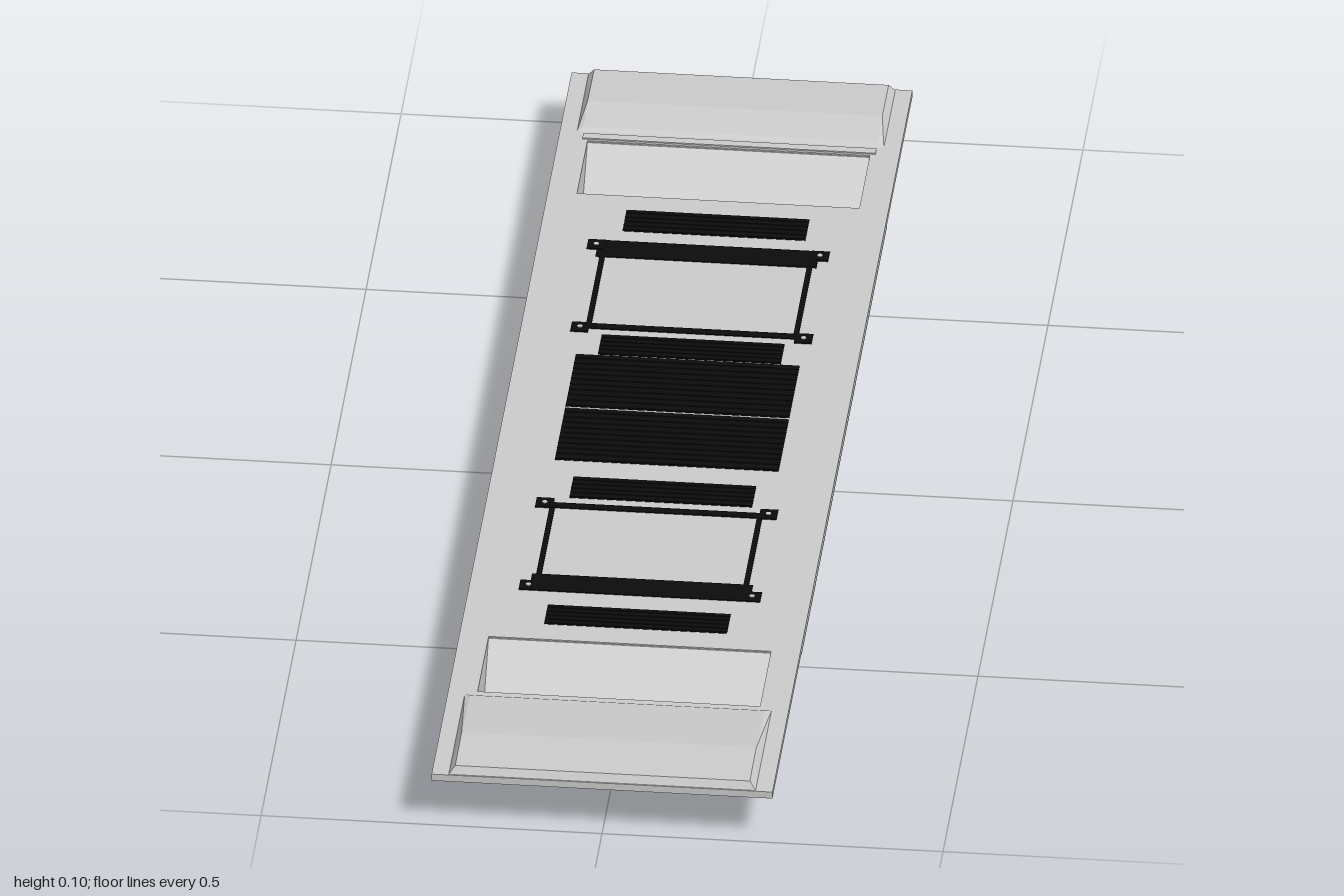
import * as THREE from 'three';
import { ConvexGeometry } from 'three/addons/geometries/ConvexGeometry.js';

const grey = new THREE.MeshStandardMaterial({ color: 0xcccccc, flatShading: true });
const black = new THREE.MeshStandardMaterial({ color: 0x0c0c0c, flatShading: true });

const TOP = 0.086, BASE = 0.075;

export function createModel() {
  const model = new THREE.Group();

  const add = (name, geometry, material, parent = model) => {
    const mesh = new THREE.Mesh(geometry, material);
    mesh.name = name;
    parent.add(mesh);
    return mesh;
  };
  // Box given by its limits on each axis
  const box = (name, x0, x1, y0, y1, z0, z1, material, parent) => {
    const mesh = add(name, new THREE.BoxGeometry(x1 - x0, y1 - y0, z1 - z0), material, parent);
    mesh.position.set((x0 + x1) / 2, (y0 + y1) / 2, (z0 + z1) / 2);
    return mesh;
  };
  const group = (name) => {
    const g = new THREE.Group();
    g.name = name;
    model.add(g);
    return g;
  };

  // Main plate, pierced by the two pocket openings
  const rect = (Type, x, z0, z1) => new Type([
    new THREE.Vector2(-x, -z0), new THREE.Vector2(x, -z0),
    new THREE.Vector2(x, -z1), new THREE.Vector2(-x, -z1)]);
  const plate = rect(THREE.Shape, 0.25, 1, -1);
  plate.holes.push(rect(THREE.Path, 0.207, 0.76, 0.603), rect(THREE.Path, 0.207, -0.66, -0.81));
  const plateGeometry = new THREE.ExtrudeGeometry(plate, { depth: TOP - BASE, bevelEnabled: false });
  plateGeometry.rotateX(-Math.PI / 2).translate(0, BASE, 0);
  add('mainPlate', plateGeometry, grey);

  // Extrude a [z, y] profile across x
  const across = (points, x0, x1) => {
    const shape = new THREE.Shape(points.map(([z, y]) => new THREE.Vector2(-z, y)));
    return new THREE.ExtrudeGeometry(shape, { depth: x1 - x0, bevelEnabled: false })
      .rotateY(Math.PI / 2).translate(x0, 0, 0);
  };

  // V-shaped pockets hanging below the plate, with triangular ends
  const pocket = (name, zBack, zLow, zFront) => {
    const g = group(name);
    const y = 0.084, t = 0.005;
    add('pocketTrough', across([
      [zBack, y], [zLow - 0.004, 0], [zLow + 0.004, 0], [zFront, y],
      [zFront - t, y], [zLow, 0.006], [zBack + t, y]], -0.223, 0.223), grey, g);
    for (const [x0, x1] of [[-0.224, -0.207], [0.207, 0.224]])
      add('pocketEnd', across([[zBack, y], [zLow - 0.004, 0], [zLow + 0.004, 0], [zFront, y]], x0, x1), grey, g);
  };
  pocket('frontPocket', 0.6, 0.677, 0.763);
  pocket('rearPocket', -0.813, -0.726, -0.657);

  // Raised end pads with sloped borders, tapering towards the pockets
  const pad = (name, zOuter, zCrest, zInner) => {
    const s = Math.sign(zOuter), points = [];
    for (const m of [-1, 1]) {
      points.push(
        new THREE.Vector3(m * 0.225, BASE, zOuter), new THREE.Vector3(m * 0.225, BASE, zInner),
        new THREE.Vector3(m * 0.225, TOP, zOuter), new THREE.Vector3(m * 0.225, TOP, zInner),
        new THREE.Vector3(m * 0.216, 0.098, zOuter - s * 0.006),
        new THREE.Vector3(m * 0.216, 0.1, zCrest),
        new THREE.Vector3(m * 0.216, 0.09, zInner + s * 0.008));
    }
    add(name, new ConvexGeometry(points), grey);
  };
  pad('frontPad', 0.998, 0.9, 0.77);
  pad('rearPad', -0.998, -0.9, -0.835);

  // Low lips where the pads meet the pockets
  box('rearPocketLip', -0.215, 0.215, TOP - 0.004, TOP + 0.002, -0.828, -0.814, grey);

  // Ribbed black grilles set into the top
  const grille = (name, x0, x1, z0, z1, ribs) => {
    const g = group(name);
    box('grilleBed', x0, x1, BASE, TOP + 0.0006, z0, z1, black, g);
    const pitch = (z1 - z0) / ribs;
    for (let i = 0; i < ribs; i++) {
      const z = z0 + pitch * i;
      box('grilleRib', x0, x1, TOP, TOP + 0.0016, z + pitch * 0.2, z + pitch * 0.8, black, g);
    }
  };
  for (const [z0, z1] of [[-0.62, -0.56], [-0.265, -0.208], [0.14, 0.2], [0.505, 0.56]])
    grille('ventGrille', -0.13, 0.138, z0, z1, 5);
  grille('centreGrilleRear', -0.162, 0.166, -0.206, -0.057, 10);
  grille('centreGrilleFront', -0.162, 0.166, -0.053, 0.095, 10);

  // Black frames: a wide bar, a thin bar, side rails and bolted corners
  const frame = (name, zWide, zThin) => {
    const g = group(name);
    const y0 = TOP - 0.003, y1 = TOP + 0.0015;
    const d = Math.sign(zThin - zWide);
    box('wideBar', -0.162, 0.162, y0, y1, zWide - 0.023, zWide + 0.023, black, g);
    box('thinBar', -0.162, 0.162, y0, y1, zThin - 0.007, zThin + 0.007, black, g);
    for (const s of [-1, 1]) {
      box('sideRail', s * 0.152 - 0.004, s * 0.152 + 0.004, y0, y1,
        Math.min(zWide, zThin), Math.max(zWide, zThin), black, g);
      for (const z of [zWide - d * 0.01, zThin + d * 0.005]) {
        box('cornerTab', s * 0.164 - 0.013, s * 0.164 + 0.013, y0, y1 + 0.0005, z - 0.013, z + 0.013, black, g);
        const bolt = add('bolt', new THREE.CylinderGeometry(0.004, 0.004, 0.003, 12), grey, g);
        bolt.position.set(s * 0.164, y1, z);
      }
    }
  };
  frame('rearFrame', -0.507, -0.287);
  frame('frontFrame', 0.444, 0.224);

  // Underside: black edging with two flat cover panels
  box('undersideEdging', -0.25, 0.25, 0.0715, BASE, -0.635, 0.585, black);
  box('rearCover', -0.246, 0.246, 0.0708, 0.073, -0.631, 0.166, grey);
  box('frontCover', -0.246, 0.246, 0.0708, 0.073, 0.175, 0.578, grey);

  // Outlined slot, latches and hinges on the underside
  for (const z of [0.105, 0.14])
    box('slotEdge', -0.155, 0.155, 0.0702, 0.072, z - 0.002, z + 0.002, black);
  for (const s of [-1, 1]) {
    box('slotEnd', s * 0.155 - 0.002, s * 0.155 + 0.002, 0.0702, 0.072, 0.103, 0.142, black);
    box('latch', s * 0.176 - 0.022, s * 0.176 + 0.022, 0.0702, 0.072, -0.228, -0.208, black);
    box('hinge', s * 0.195 - 0.028, s * 0.195 + 0.028, 0.0702, 0.072, 0.156, 0.172, black);
  }

  return model;
}
